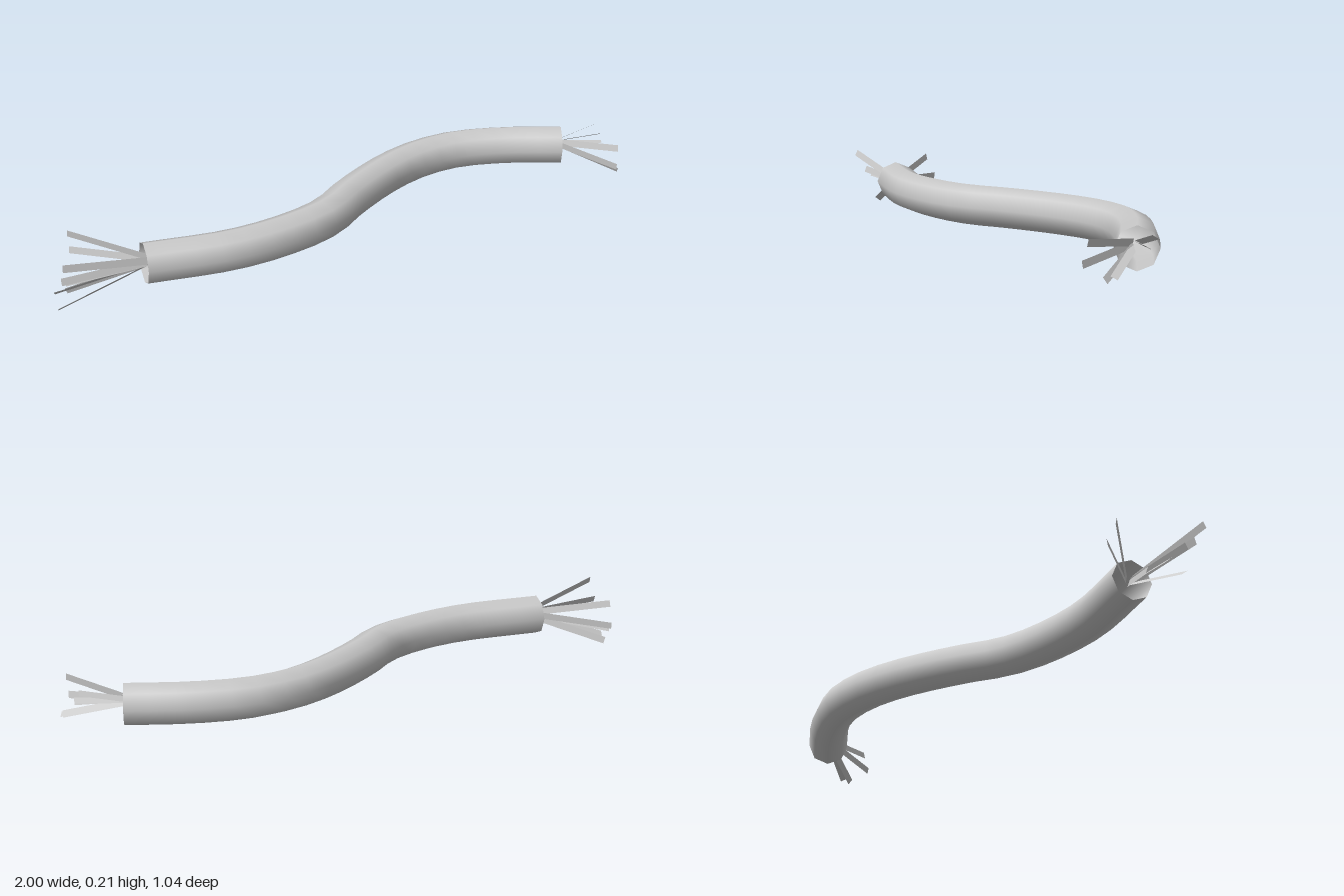
import * as THREE from 'three';

const RADIUS = 0.07, HEIGHT = 0.123;

// Flat strand from a to b; roll turns its width about its own axis
function strand(a, b, roll, material) {
  const dir = b.clone().sub(a).normalize();
  const side = new THREE.Vector3().crossVectors(dir, new THREE.Vector3(1, 0, 0)).normalize();
  side.applyAxisAngle(dir, roll);
  const normal = new THREE.Vector3().crossVectors(side, dir);
  const geometry = new THREE.PlaneGeometry(0.024, a.distanceTo(b));
  geometry.applyMatrix4(new THREE.Matrix4().makeBasis(side, dir, normal)
    .setPosition(a.clone().add(b).multiplyScalar(0.5)));
  const mesh = new THREE.Mesh(geometry, material);
  mesh.name = 'wireStrand';
  return mesh;
}

export function createModel() {
  const group = new THREE.Group();
  group.name = 'frayedCable';
  const material = new THREE.MeshStandardMaterial({ color: 0xcccccc, side: THREE.DoubleSide });

  // Open, eight-sided sheath bent in an S on the ground plane
  const path = new THREE.CatmullRomCurve3([
    [-0.71, 0.346], [-0.42, 0.277], [-0.225, 0.175], [-0.1, 0.07], [-0.005, -0.075],
    [0.14, -0.255], [0.26, -0.36], [0.4, -0.43], [0.58, -0.453], [0.797, -0.438],
  ].map(([x, z]) => new THREE.Vector3(x, HEIGHT, z)));
  const sheath = new THREE.Mesh(new THREE.TubeGeometry(path, 22, RADIUS, 8), material);
  sheath.name = 'sheath';
  group.add(sheath);

  // Strand tips at each end: x, y, z, roll
  const ends = [
    { name: 'rightWires', root: [-0.69, 0.13, 0.342], tips: [
      [-0.955, 0.2, 0.51, 0], [-0.965, 0.135, 0.475, 0.3], [-0.985, 0.013, 0.43, 0],
      [-0.955, 0.12, 0.45, 0.6], [-0.998, 0.045, 0.38, 0.3], [-0.965, 0.02, 0.32, 1.5],
      [-0.955, 0.185, 0.235, 0.3], [-0.955, 0.11, 0.205, 0],
    ] },
    { name: 'leftWires', root: [0.78, 0.135, -0.44], tips: [
      [0.975, 0.17, -0.28, 0], [0.97, 0.105, -0.265, 0], [0.99, 0.062, -0.33, 0],
      [0.995, 0.07, -0.355, 0.5], [0.95, 0.13, -0.435, 0.8], [0.95, 0.15, -0.46, 0.4],
      [0.935, 0.18, -0.48, 0.2],
    ] },
  ];
  for (const { name, root, tips } of ends) {
    const bundle = new THREE.Group();
    bundle.name = name;
    const start = new THREE.Vector3(...root);
    for (const [x, y, z, roll] of tips) {
      const tip = new THREE.Vector3(x, y, z);
      // Strands fan slightly apart at the root
      const from = start.clone();
      from.y += (y - start.y) * 0.08;
      from.z += (z - start.z) * 0.08;
      bundle.add(strand(from, tip, roll, material));
    }
    group.add(bundle);
  }
  return group;
}
